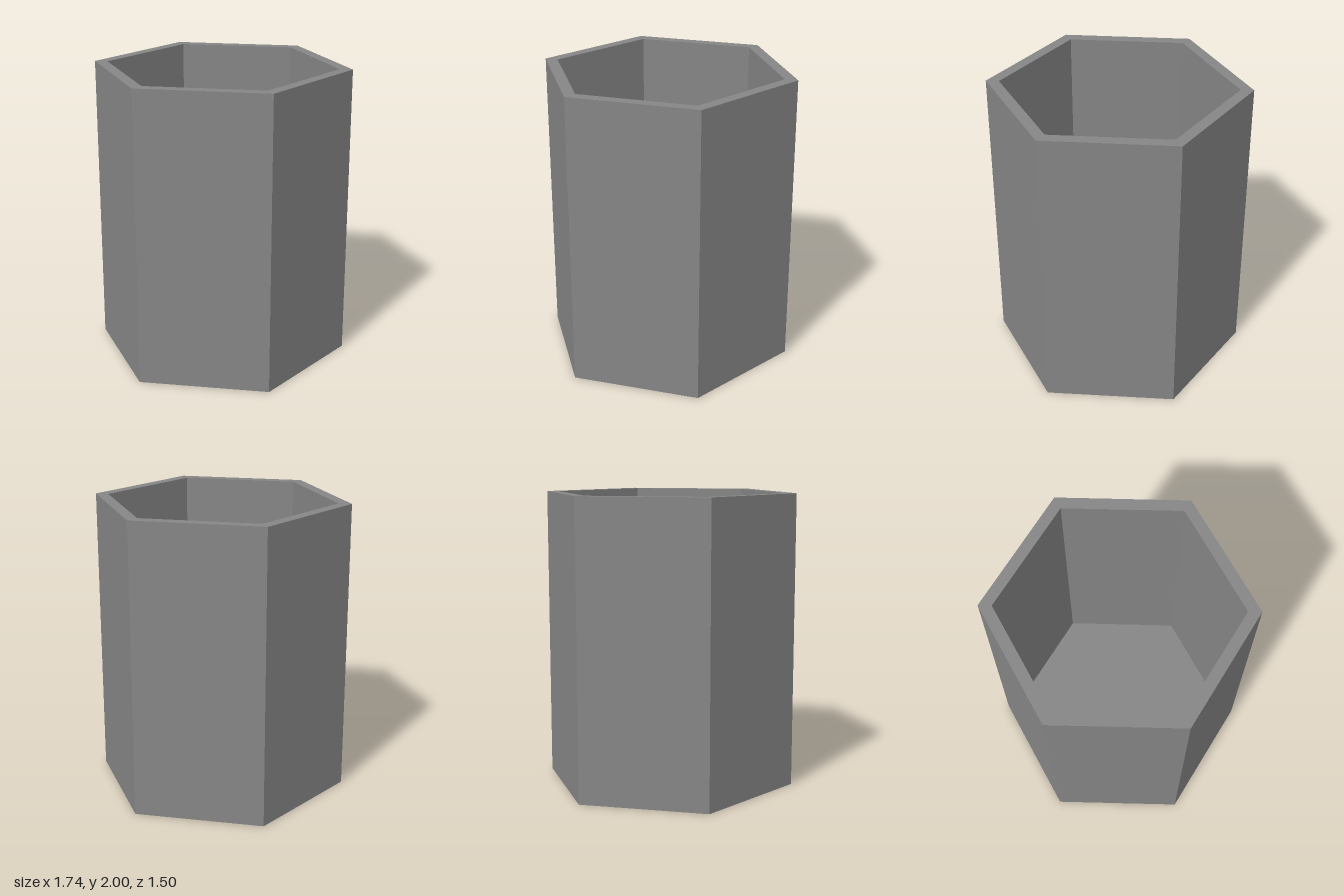
import * as THREE from 'three';

const SIDES = 6;
const HEIGHT = 2;
const OUTER = 0.868; // corner radius
const INNER = OUTER * 0.9;
const FLOOR = 0.08;

export function createModel() {
  const model = new THREE.Group();
  model.name = 'hexagonalCup';

  // Closed section: underside, outer wall, rim, inner wall, floor
  const section = [
    [0, 0], [OUTER, 0], [OUTER, HEIGHT], [INNER, HEIGHT], [INNER, FLOOR], [0, FLOOR],
  ].map(([r, y]) => new THREE.Vector2(r, y));

  // Six-sided turn with corners on the x axis and flats facing front and back
  const cup = new THREE.Mesh(
    new THREE.LatheGeometry(section, SIDES, Math.PI / 2),
    new THREE.MeshStandardMaterial({ color: 0x868686, flatShading: true }),
  );
  cup.name = 'cupBody';
  model.add(cup);

  return model;
}
